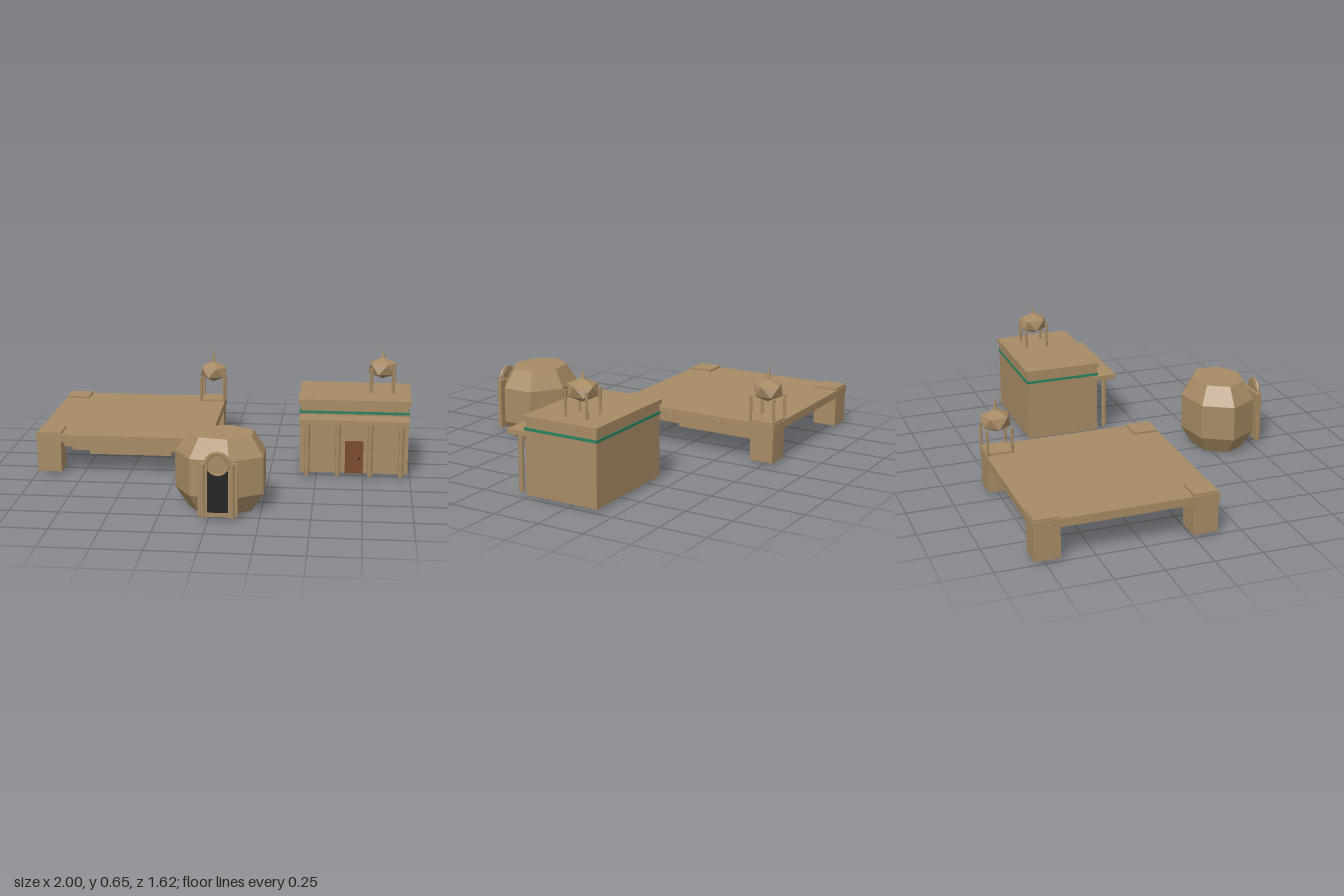
import * as THREE from 'three';

const mat = (name, color) => {
  const m = new THREE.MeshStandardMaterial({ color, flatShading: true });
  m.name = name;
  return m;
};

export function createModel() {
  const stone = mat('sandstone', 0xa68a64);
  const green = mat('greenTrim', 0x2a8060);
  const wood = mat('brownWood', 0x7a4a2e);
  const dark = mat('darkOpening', 0x222222);

  const root = new THREE.Group();
  const group = (name) => {
    const g = new THREE.Group();
    g.name = name;
    root.add(g);
    return g;
  };
  const add = (parent, name, geo, material, x = 0, y = 0, z = 0) => {
    const m = new THREE.Mesh(geo, material);
    m.name = name;
    m.position.set(x, y, z);
    parent.add(m);
    return m;
  };
  // Box given by its lower and upper limits on each axis
  const box = (parent, name, material, x0, x1, y0, y1, z0, z1) =>
    add(parent, name, new THREE.BoxGeometry(x1 - x0, y1 - y0, z1 - z0), material,
      (x0 + x1) / 2, (y0 + y1) / 2, (z0 + z1) / 2);
  const column = (parent, name, r, x, y0, y1, z) =>
    add(parent, name, new THREE.CylinderGeometry(r, r, y1 - y0, 8), stone, x, (y0 + y1) / 2, z);

  // Faceted cupola on four posts, with a spike on top
  const cupola = (x, z, baseY, postTop, spread, ballBottom, ballTop, tip) => {
    const g = group('cupola');
    for (const sx of [-1, 1]) for (const sz of [-1, 1])
      column(g, 'cupolaPost', 0.008, x + sx * spread, baseY, postTop, z + sz * spread);
    const half = (ballTop - ballBottom) / 2;
    const ball = new THREE.IcosahedronGeometry(1, 0);
    ball.rotateX(-Math.atan((1 + Math.sqrt(5)) / 2)); // stand it on a corner
    ball.rotateY(Math.PI / 2);
    ball.scale(0.086, half, 0.086);
    add(g, 'cupolaDome', ball, stone, x, ballBottom + half, z);
    const h = tip - ballTop + 0.01;
    add(g, 'cupolaSpike', new THREE.ConeGeometry(0.013, h, 8), stone, x, tip - h / 2, z);
  };

  // Raised platform with corner piers and an inverted stepped underside
  const platform = group('platform');
  const px = -0.53, pz = -0.338;
  box(platform, 'platformSlab', stone, -1, -0.06, 0.178, 0.22, -0.808, 0.132);
  [[0.39, 0.135], [0.308, 0.092], [0.226, 0.047]].forEach(([h, y]) =>
    box(platform, 'undersideStep', stone, px - h, px + h, y, y + 0.044, pz - h, pz + h));
  for (const sx of [-1, 1]) for (const sz of [-1, 1]) {
    const cx = px + sx * 0.4, cz = pz + sz * 0.4;
    box(platform, 'cornerPier', stone, cx - 0.065, cx + 0.065, 0.015, 0.231, cz - 0.065, cz + 0.065);
  }
  cupola(-0.132, -0.737, 0.22, 0.36, 0.065, 0.325, 0.45, 0.515);

  // Square house with porch
  const house = group('house');
  box(house, 'houseBody', stone, 0.41, 0.988, 0.015, 0.396, -0.405, 0);
  box(house, 'roofSlab', stone, 0.4, 1, 0.394, 0.417, -0.413, 0.006);
  box(house, 'greenStripe', green, 0.406, 0.992, 0.342, 0.356, -0.409, 0.004);
  box(house, 'porchRoof', stone, 0.41, 0.988, 0.309, 0.333, -0.01, 0.112);
  for (const x of [0.452, 0.615, 0.786, 0.95])
    column(house, 'porchColumn', 0.014, x, 0.015, 0.312, 0.055);
  box(house, 'houseDoor', wood, 0.653, 0.75, 0.015, 0.193, 0, 0.012);
  add(house, 'doorKnob', new THREE.IcosahedronGeometry(0.007, 0), dark, 0.729, 0.1, 0.014);
  cupola(0.845, -0.237, 0.41, 0.55, 0.06, 0.485, 0.604, 0.647);

  // Seven-sided rounded hut
  const hut = group('hut');
  const profile = [[0, 0], [0.169, 0], [0.236, 0.098], [0.236, 0.287], [0.169, 0.386], [0, 0.386]]
    .map(([r, y]) => new THREE.Vector2(r, y));
  const shell = new THREE.LatheGeometry(profile, 7, -Math.PI / 2);
  shell.scale(1, 1, 0.826);
  add(hut, 'hutShell', shell, stone, 0.049, 0, 0.578);

  // Arched entrance standing in front of the hut
  const ax = 0.048, archY = 0.283;
  box(hut, 'entranceFrame', stone, ax - 0.098, ax + 0.098, 0.015, 0.287, 0.775, 0.793);
  box(hut, 'entranceOpening', dark, ax - 0.052, ax + 0.052, 0.038, 0.25, 0.79, 0.798);
  for (const s of [-1, 1]) {
    column(hut, 'entranceColumn', 0.01, ax + s * 0.073, 0.015, 0.287, 0.803);
    box(hut, 'entranceJamb', stone, ax + s * 0.057 - 0.006, ax + s * 0.057 + 0.006, 0.015, 0.283, 0.79, 0.802);
  }
  const disc = new THREE.CylinderGeometry(0.056, 0.056, 0.012, 20);
  disc.rotateX(Math.PI / 2);
  add(hut, 'archPanel', disc, stone, ax, archY, 0.797);
  add(hut, 'archMoulding', new THREE.TorusGeometry(0.06, 0.008, 6, 16, Math.PI), stone, ax, archY, 0.803);
  add(hut, 'archRing', new THREE.TorusGeometry(0.052, 0.005, 6, 20), stone, ax, archY, 0.803);

  return root;
}
